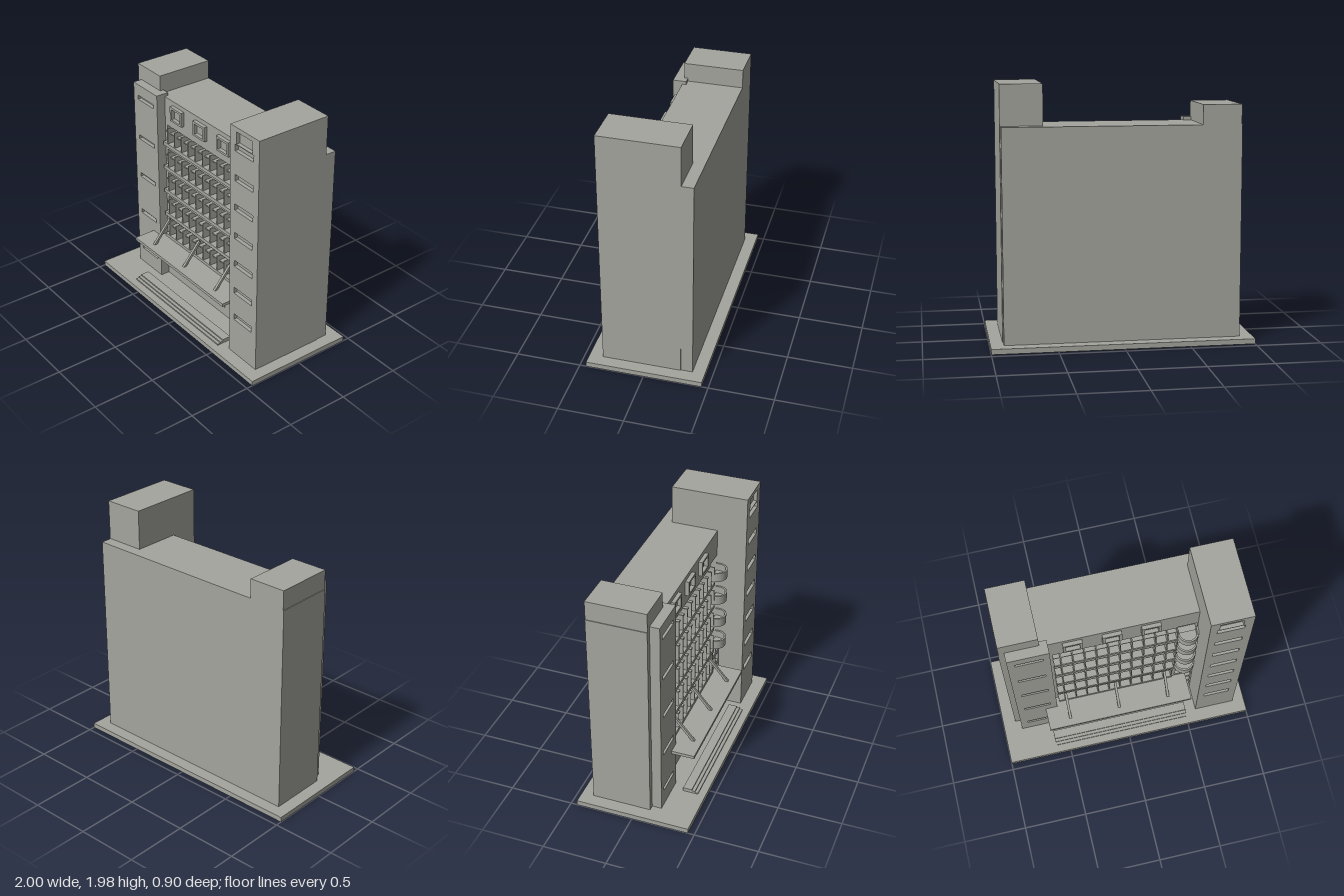
import * as THREE from 'three';
import { toCreasedNormals } from 'three/addons/utils/BufferGeometryUtils.js';

export function createModel() {
  const model = new THREE.Group();
  model.name = 'building';
  const concrete = new THREE.MeshStandardMaterial({ color: 0xa5a59f });
  concrete.name = 'concrete';

  const add = (name, geometry, parent = model) => {
    const mesh = new THREE.Mesh(geometry, concrete);
    mesh.name = name;
    parent.add(mesh);
    return mesh;
  };
  const group = (name) => {
    const g = new THREE.Group();
    g.name = name;
    model.add(g);
    return g;
  };
  // Box given by its limits on each axis
  const box = (name, x0, x1, y0, y1, z0, z1, parent) => {
    const mesh = add(name, new THREE.BoxGeometry(x1 - x0, y1 - y0, z1 - z0), parent);
    mesh.position.set((x0 + x1) / 2, (y0 + y1) / 2, (z0 + z1) / 2);
    return mesh;
  };
  const rectangle = (target, [x0, x1, y0, y1]) => {
    target.moveTo(x0, y0);
    target.lineTo(x1, y0);
    target.lineTo(x1, y1);
    target.lineTo(x0, y1);
    target.closePath();
    return target;
  };
  // Wall slab with rectangular openings
  const wall = (name, outline, openings, z0, z1, parent) => {
    const shape = rectangle(new THREE.Shape(), outline);
    openings.forEach((o) => shape.holes.push(rectangle(new THREE.Path(), o)));
    const mesh = add(name, new THREE.ExtrudeGeometry(shape, { depth: z1 - z0, bevelEnabled: false }), parent);
    mesh.position.z = z0;
    return mesh;
  };

  // Ground slab and main block
  box('groundSlab', -1, 1, 0, 0.04, -0.45, 0.45);
  box('mainBlock', -0.9, 0.9, 0.04, 1.665, -0.355, 0.06);
  box('roofHouse', -0.895, -0.6, 1.665, 1.815, -0.355, 0.11);

  // Facade with window bands and balcony doors
  const floors = [0.425, 0.63, 0.845, 1.058, 1.27];
  const openings = floors.map((y, i) => [-0.515, i ? 0.42 : 0.41, y + 0.03, y + 0.16]);
  floors.slice(1).forEach((y) => openings.push([0.43, 0.58, y + 0.03, y + 0.175]));
  wall('facade', [-0.9, 0.9, 0.04, 1.665], openings, 0.06, 0.11);

  // Left pylon with recessed slots
  const leftSlots = [0.19, 0.54, 0.885, 1.23, 1.58].map((y) => [-0.8, -0.59, y - 0.0175, y + 0.0175]);
  box('leftPylon', -0.855, -0.54, 0.04, 1.69, 0.08, 0.155);
  wall('leftPylonFront', [-0.855, -0.54, 0.04, 1.69], leftSlots, 0.155, 0.185);

  // Right tower with recessed slots and a top window
  const rightSlots = [];
  for (let i = 0; i < 7; i++) rightSlots.push([0.64, 0.845, 0.35 + i * 0.2395, 0.402 + i * 0.2395]);
  rightSlots.push([0.655, 0.83, 1.845, 1.94]);
  box('rightTower', 0.585, 0.905, 0.04, 1.975, -0.265, 0.315);
  wall('rightTowerFront', [0.585, 0.905, 0.04, 1.975], rightSlots, 0.315, 0.345);

  // Sun screens: sill, mid rail and fins on every floor
  floors.forEach((y, i) => {
    const screen = group('sunScreen' + (i + 1));
    const end = i ? 0.43 : 0.415;
    box('sill', -0.515, end, y, y + 0.03, 0.06, 0.15, screen);
    box('midRail', -0.515, end, y + 0.108, y + 0.118, 0.06, 0.125, screen);
    for (let k = 0; k < 10; k++) {
      const x = -0.462 + k * 0.09;
      box('fin', x - 0.005, x + 0.005, y + 0.03, y + 0.16, 0.06, 0.147, screen);
    }
    box('endFin', end - 0.01, end, y + 0.03, y + 0.16, 0.06, 0.147, screen);
  });

  // Curved balconies: U-shaped parapet over a floor plate
  const parapet = new THREE.Shape();
  parapet.moveTo(0.08, -0.03);
  parapet.lineTo(0.08, 0);
  parapet.absarc(0, 0, 0.08, 0, Math.PI, false);
  parapet.lineTo(-0.08, -0.03);
  parapet.lineTo(-0.066, -0.03);
  parapet.lineTo(-0.066, 0);
  parapet.absarc(0, 0, 0.066, Math.PI, 0, true);
  parapet.lineTo(0.066, -0.03);
  const plate = new THREE.Shape();
  plate.moveTo(0.075, -0.03);
  plate.lineTo(0.075, 0);
  plate.absarc(0, 0, 0.075, 0, Math.PI, false);
  plate.lineTo(-0.075, -0.03);
  const curved = (shape, depth) => toCreasedNormals(
    new THREE.ExtrudeGeometry(shape, { depth, bevelEnabled: false, curveSegments: 20 }).rotateX(Math.PI / 2), 0.6);
  const parapetGeometry = curved(parapet, 0.075);
  const plateGeometry = curved(plate, 0.014);
  floors.slice(1).forEach((y, i) => {
    const balcony = group('balcony' + (i + 1));
    add('parapet', parapetGeometry, balcony).position.y = 0.075;
    add('floorPlate', plateGeometry, balcony).position.y = 0.015;
    balcony.position.set(0.505, y + 0.03, 0.14);
  });

  // Stair bay with paired windows
  const bayWindows = [];
  for (let i = 0; i < 5; i++) {
    const y = 0.135 + i * 0.107;
    bayWindows.push([0.437, 0.502, y, y + 0.075], [0.512, 0.575, y, y + 0.075]);
  }
  wall('stairBay', [0.415, 0.585, 0.04, 0.66], bayWindows, 0.11, 0.14);

  // Framed square windows under the roof
  for (const x of [-0.362, -0.07, 0.222]) {
    wall('windowFrame', [x - 0.0725, x + 0.0725, 1.51, 1.63],
      [[x - 0.053, x + 0.053, 1.526, 1.612]], 0.11, 0.14);
  }

  // Entrance: mullions, canopy, struts and steps
  for (let i = 0; i < 7; i++) {
    const x = -0.5 + i * 0.145;
    box('mullion', x - 0.004, x + 0.004, 0.12, 0.37, 0.11, 0.115);
  }
  box('canopy', -0.635, 0.525, 0.405, 0.43, 0.1, 0.365);
  const top = new THREE.Vector3(0, 0.61, 0.145);
  const foot = new THREE.Vector3(0, 0.425, 0.3);
  for (const x of [-0.457, -0.056, 0.346]) {
    const strut = add('strut', new THREE.BoxGeometry(0.02, 0.02, top.distanceTo(foot)));
    strut.position.copy(top).add(foot).multiplyScalar(0.5).setX(x);
    strut.rotation.x = Math.atan2(top.y - foot.y, foot.z - top.z);
  }
  for (let i = 0; i < 3; i++) {
    box('step', -0.61, 0.5, 0.04 + i * 0.01, 0.05 + i * 0.01, 0.27, 0.39 - i * 0.025);
  }

  return model;
}
